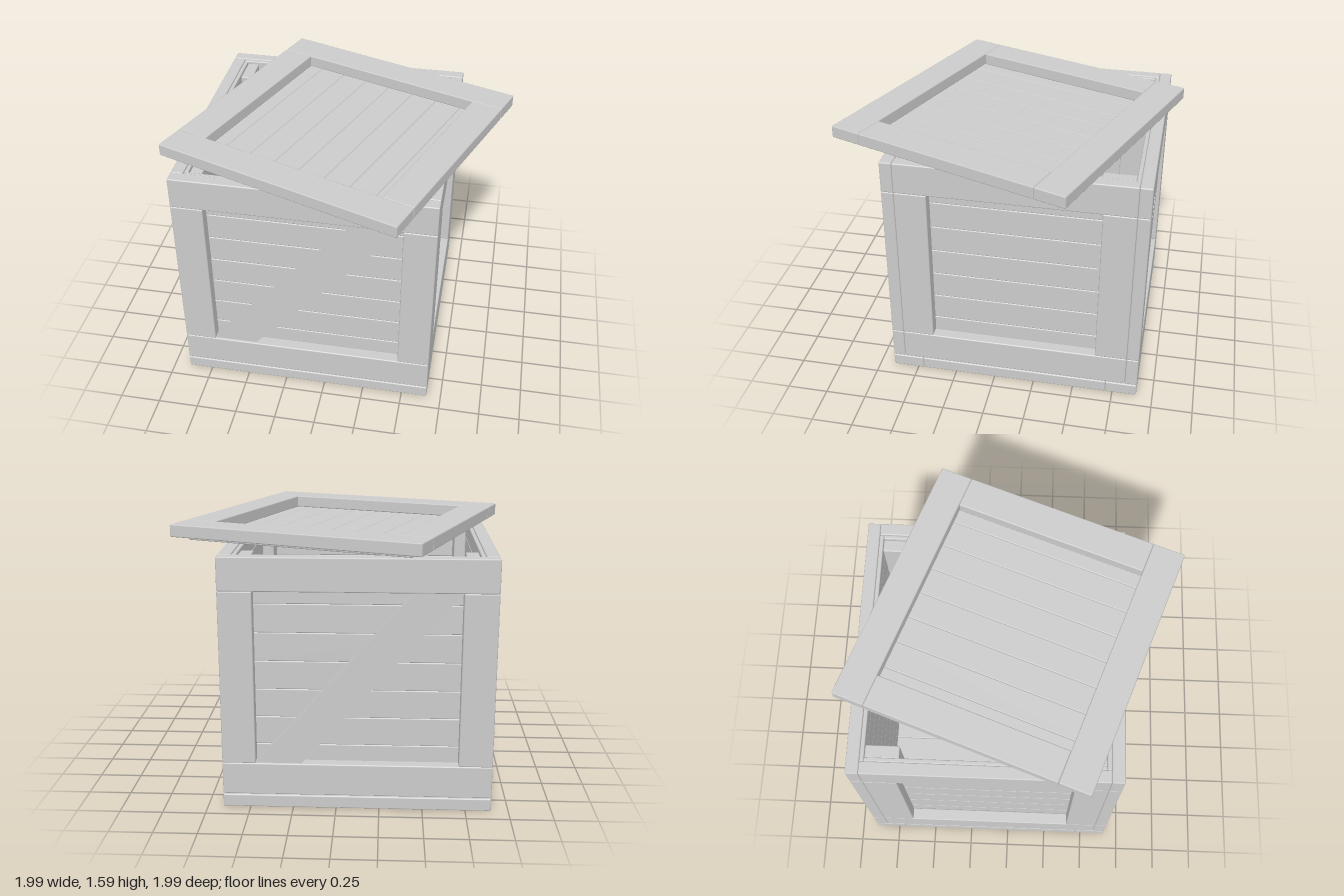
import * as THREE from 'three';
import { RoundedBoxGeometry } from 'three/addons/geometries/RoundedBoxGeometry.js';

const HALF = 0.78;      // half width of crate and lid
const BOARD = 0.195;    // frame board width
const THICK = 0.075;    // frame board thickness
const PLANK = 0.168;    // plank pitch
const PLANK_T = 0.025;  // plank thickness
const BASE = 0.08, RIM = 1.49;

const material = new THREE.MeshStandardMaterial({ color: 0xcccccc });

// A softly bevelled board given by its lower and upper corners
function board(parent, name, x0, x1, y0, y1, z0, z1) {
  const w = x1 - x0, h = y1 - y0, d = z1 - z0;
  const r = Math.min(0.007, Math.min(w, h, d) / 4);
  const mesh = new THREE.Mesh(new RoundedBoxGeometry(w, h, d, 1, r), material);
  mesh.position.set((x0 + x1) / 2, (y0 + y1) / 2, (z0 + z1) / 2);
  mesh.name = name;
  parent.add(mesh);
  return mesh;
}

// Edges of a row of planks from a to b, given the seams between them
function spans(a, seams, b) {
  const edges = [a, ...seams, b];
  return edges.slice(1).map((e, i) => [edges[i], e]);
}

// Square frame of four boards with a plank panel, used flat as base and lid
function flatPanel(name, frameY, plankY) {
  const g = new THREE.Group();
  g.name = name;
  const inner = HALF - BOARD;
  for (const s of [-1, 1]) {
    const c = s * (HALF - BOARD / 2), a = c - BOARD / 2, b = c + BOARD / 2;
    board(g, name + 'EndBoard', -HALF, HALF, frameY, frameY + THICK, a, b);
    board(g, name + 'SideBoard', a, b, frameY, frameY + THICK, -inner, inner);
  }
  const seams = [-3, -2, -1, 0, 1, 2, 3].map(k => k * PLANK);
  for (const [a, b] of spans(-0.7, seams, 0.7))
    board(g, name + 'Plank', a, b, plankY, plankY + PLANK_T, -0.7, 0.7);
  return g;
}

// Diagonal brace with ends cut level with the rails
function brace(parent, x, y0, y1, z) {
  const cut = 0.265;
  const shape = new THREE.Shape([
    new THREE.Vector2(-x, y0), new THREE.Vector2(-x + cut, y0),
    new THREE.Vector2(x, y1), new THREE.Vector2(x - cut, y1),
  ]);
  const geo = new THREE.ExtrudeGeometry(shape, { depth: 0.06, bevelEnabled: false });
  const mesh = new THREE.Mesh(geo, material);
  mesh.position.z = z;
  mesh.name = 'diagonalBrace';
  parent.add(mesh);
}

// One crate wall facing +z; end walls are full width and carry the brace
function wall(name, isEnd) {
  const g = new THREE.Group();
  g.name = name;
  const half = isEnd ? HALF : HALF - THICK;
  const back = HALF - THICK, inside = back - PLANK_T;
  const low = BASE + BOARD, high = RIM - BOARD;

  board(g, 'lowerRail', -half, half, BASE + 0.003, low, back, HALF);
  board(g, 'upperRail', -half, half, high, RIM, back, HALF);
  for (const s of [-1, 1]) {
    const c = s * (half - BOARD / 2);
    board(g, 'cornerPost', c - BOARD / 2, c + BOARD / 2, low, high, back, HALF);
    // inner battens stand only behind the side walls
    if (!isEnd) {
      const i = s * (inside - BOARD / 2);
      board(g, 'innerBatten', i - BOARD / 2, i + BOARD / 2, 0.105, 1.47, inside - THICK, inside);
    }
  }
  const seams = [-3.5, -2.5, -1.5, -0.5, 0.5, 1.5, 2.5, 3.5].map(k => 0.79 + k * PLANK);
  const reach = isEnd ? back : inside;
  for (const [a, b] of spans(BASE + 0.01, seams, RIM - 0.005))
    board(g, 'wallPlank', -reach, reach, a, b, inside, back);
  if (isEnd) brace(g, HALF - BOARD, low, high, back);
  return g;
}

export function createModel() {
  const model = new THREE.Group();
  model.name = 'woodenCrate';

  // Crate body: base and four walls
  const body = new THREE.Group();
  body.name = 'crateBody';
  body.position.set(-0.12, 0, -0.12);
  body.add(flatPanel('base', 0.002, 0.078));
  ['frontWall', 'rightWall', 'backWall', 'leftWall'].forEach((name, i) => {
    const w = wall(name, i % 2 === 0);
    w.rotation.y = -i * Math.PI / 2;
    body.add(w);
  });
  model.add(body);

  // Lid lying askew on the rim
  const lid = flatPanel('lid', 1.517, 1.492);
  lid.rotation.y = -THREE.MathUtils.degToRad(20);
  model.add(lid);

  return model;
}
